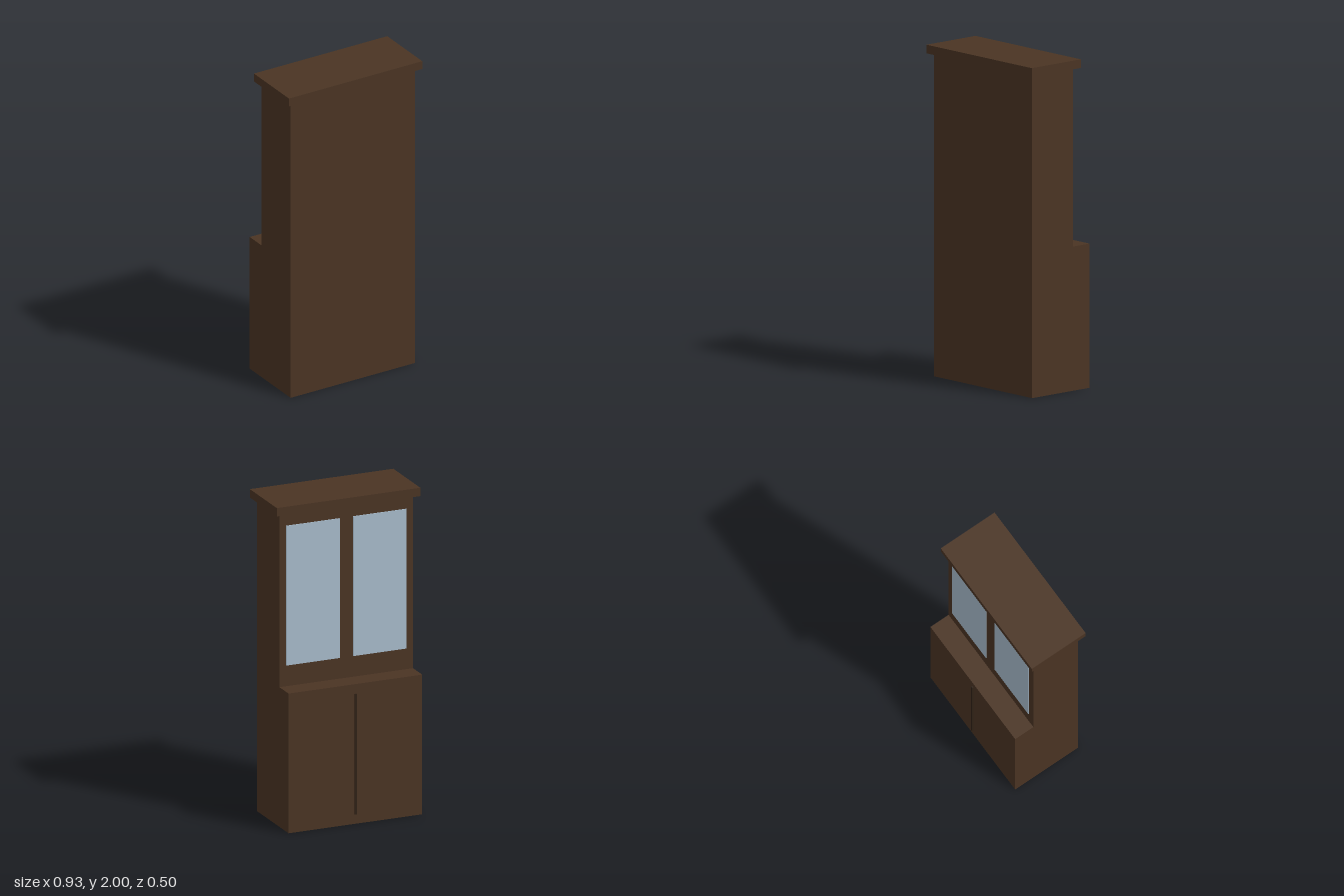
import * as THREE from 'three';

const material = (name, color) => {
  const m = new THREE.MeshStandardMaterial({ color });
  m.name = name;
  return m;
};

export function createModel() {
  const group = new THREE.Group();
  group.name = 'displayCabinet';

  const wood = material('darkWood', 0x4a3423);
  const gap = material('doorGapBrown', 0x2e2015);
  const glass = material('paleBlueGlass', 0xa8bccc);

  // Box given by its min and max extents on each axis
  const box = (name, mat, [x0, x1], [y0, y1], [z0, z1]) => {
    const mesh = new THREE.Mesh(new THREE.BoxGeometry(x1 - x0, y1 - y0, z1 - z0), mat);
    mesh.position.set((x0 + x1) / 2, (y0 + y1) / 2, (z0 + z1) / 2);
    mesh.name = name;
    group.add(mesh);
  };

  const half = 0.433;
  const wall = 0.216;

  // Carcass: deep cupboard, shallower display case, overhanging cornice
  box('lowerCupboard', wood, [-half, half], [0, 0.87], [-0.24, wall]);
  box('upperCase', wood, [-half, half], [0.87, 1.948], [-0.108, wall]);
  box('cornice', wood, [-0.465, 0.465], [1.948, 2], [-0.142, 0.248]);

  // Dark gap between the two cupboard doors
  box('doorGap', gap, [-0.006, 0.006], [0.06, 0.81], [-0.248, -0.239]);

  // Pair of glass panes
  for (const side of [-1, 1]) {
    const centre = side * half / 2;
    box(side > 0 ? 'leftGlassPane' : 'rightGlassPane', glass,
      [centre - 0.173, centre + 0.173], [1.0, 1.87], [-0.113, -0.107]);
  }

  return group;
}
